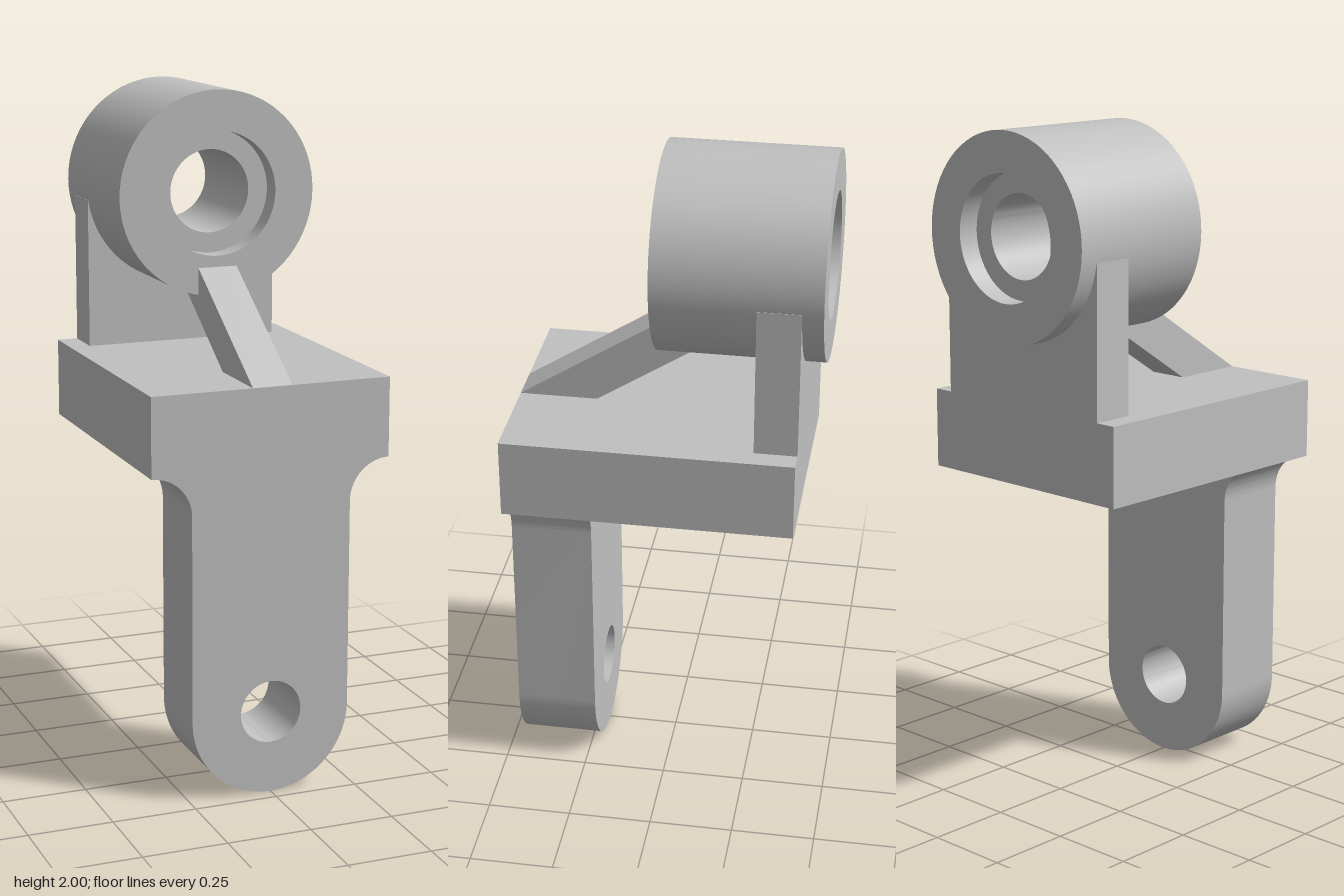
import * as THREE from 'three';
import { toCreasedNormals } from 'three/addons/utils/BufferGeometryUtils.js';

const PI = Math.PI;

export function createModel() {
  const group = new THREE.Group();
  group.name = 'pivotBracket';
  const metal = new THREE.MeshStandardMaterial({ color: 0xc0c0c0 });
  metal.name = 'plain grey';

  const add = (name, geometry) => {
    const mesh = new THREE.Mesh(toCreasedNormals(geometry, 0.5), metal);
    mesh.name = name;
    group.add(mesh);
  };
  const extrude = (shape, z0, z1) =>
    new THREE.ExtrudeGeometry(shape, { depth: z1 - z0, bevelEnabled: false, curveSegments: 32 })
      .translate(0, 0, z0);

  // Horizontal block
  add('baseBlock', new THREE.BoxGeometry(0.724, 0.235, 0.85).translate(0, 1.0925, 0.03));

  // Hanging lug: filleted at the block, rounded at the foot, with a pin hole
  const lug = new THREE.Shape();
  lug.moveTo(-0.362, 0.975);
  lug.absarc(-0.362, 0.855, 0.12, PI / 2, 0, true);
  lug.absarc(0, 0.242, 0.242, PI, 2 * PI, false);
  lug.absarc(0.362, 0.855, 0.12, PI, PI / 2, true);
  lug.closePath();
  const pinHole = new THREE.Path();
  pinHole.absarc(0, 0.246, 0.093, 0, 2 * PI, true);
  lug.holes.push(pinHole);
  add('lug', extrude(lug, 0.215, 0.455));

  // Bearing barrel: through bore with a counterbore at each end
  const R = 0.302, C = 0.183, B = 0.123, front = 0.03, back = -0.455, step = 0.065;
  const profile = [
    [R, back], [R, front], [C, front], [C, front - step], [B, front - step],
    [B, back + step], [C, back + step], [C, back], [R, back],
  ].map(([r, z]) => new THREE.Vector2(r, z));
  add('barrel', new THREE.LatheGeometry(profile, 72).rotateX(PI / 2).translate(0, 1.698, 0));

  // Upright plate, its top cradling the barrel
  const plate = new THREE.Shape();
  plate.moveTo(-0.3, 1.21);
  plate.lineTo(0.3, 1.21);
  plate.lineTo(0.3, 1.655);
  plate.absarc(0, 1.698, 0.25, -0.18, -PI + 0.18, true);
  plate.lineTo(-0.3, 1.655);
  plate.closePath();
  add('uprightPlate', extrude(plate, -0.395, -0.27));

  // Sloping rib from the block's front edge into the barrel wall
  const rib = new THREE.Shape(
    [[0.455, 1.21], [0.03, 1.482], [-0.03, 1.46], [-0.085, 1.41], [0.225, 1.21]]
      .map(([z, y]) => new THREE.Vector2(z, y)));
  add('rib', extrude(rib, -0.06, 0.06).rotateY(-PI / 2));

  return group;
}
